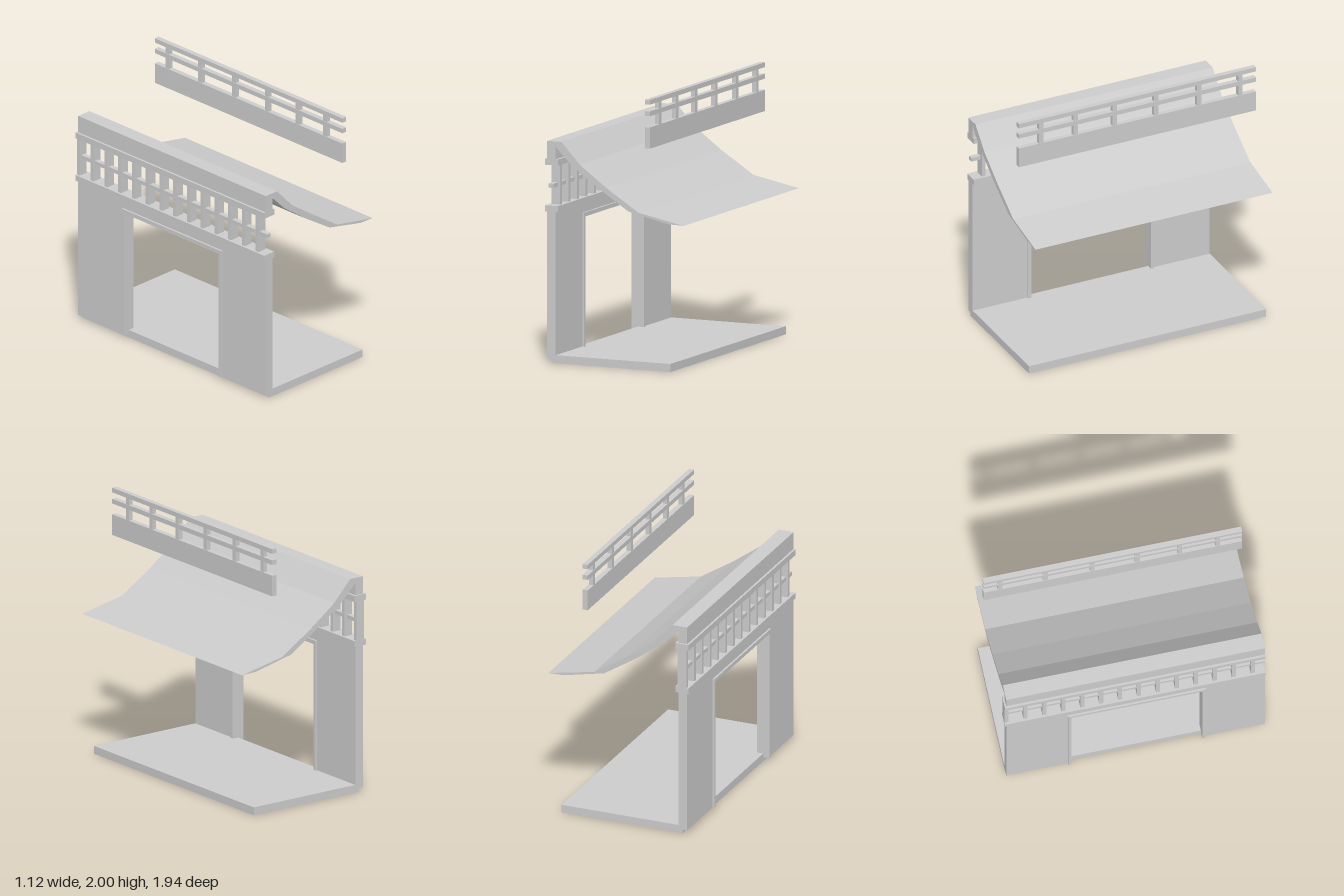
import * as THREE from 'three';

const Z0 = -0.96, Z1 = 0.97;

export function createModel() {
  const model = new THREE.Group();
  const material = new THREE.MeshStandardMaterial({ color: 0xcccccc, flatShading: true });

  function add(name, geometry, parent = model) {
    const mesh = new THREE.Mesh(geometry, material);
    mesh.name = name;
    parent.add(mesh);
    return mesh;
  }
  // Box given by its limits on each axis
  function box(name, [x0, x1], [y0, y1], [z0, z1], parent) {
    const g = new THREE.BoxGeometry(x1 - x0, y1 - y0, z1 - z0);
    g.translate((x0 + x1) / 2, (y0 + y1) / 2, (z0 + z1) / 2);
    return add(name, g, parent);
  }
  function group(name) {
    const g = new THREE.Group();
    g.name = name;
    model.add(g);
    return g;
  }
  // Door-shaped outline in (z, y), pushed out along x
  function portal(name, points, [x0, x1], parent) {
    const shape = new THREE.Shape(points.map(([z, y]) => new THREE.Vector2(-z, y)));
    const g = new THREE.ExtrudeGeometry(shape, { depth: x1 - x0, bevelEnabled: false });
    g.rotateY(Math.PI / 2);
    g.translate(x0, 0, 0);
    return add(name, g, parent);
  }

  // Floor slab
  box('floor', [-0.515, 0.45], [0, 0.06], [Z0, Z1]);

  // Wall with a doorway, and the frame lining it
  portal('wall', [
    [Z1, 0.03], [Z1, 1.13], [Z0, 1.13], [Z0, 0.03],
    [-0.49, 0.03], [-0.49, 1.035], [0.515, 1.035], [0.515, 0.03],
  ], [-0.55, -0.48]);
  portal('doorFrame', [
    [0.525, 0.03], [0.525, 1.05], [-0.5, 1.05], [-0.5, 0.03],
    [-0.475, 0.03], [-0.475, 1.02], [0.5, 1.02], [0.5, 0.03],
  ], [-0.565, -0.465]);

  // Slatted vent between two beams
  const vent = group('vent');
  box('lowerBeam', [-0.567, -0.462], [1.118, 1.163], [-0.973, Z1], vent);
  box('upperBeam', [-0.567, -0.462], [1.462, 1.508], [-0.973, Z1], vent);
  box('ventRail', [-0.537, -0.5], [1.295, 1.325], [Z0, Z1], vent);
  const slats = 14;
  for (let i = 0; i < slats; i++) {
    const z = THREE.MathUtils.lerp(-0.958, 0.88, i / (slats - 1));
    box('slat', [-0.55, -0.48], [1.15, 1.47], [z - 0.015, z + 0.015], vent);
  }

  // Curved roof with the ridge wall beneath it
  const profile = [
    [-0.55, 1.47], [-0.48, 1.47], [-0.48, 1.6], [-0.36, 1.48], [-0.145, 1.325],
    [0.11, 1.163], [0.43, 1.092], [0.557, 1.088], [0.19, 1.16], [-0.07, 1.325],
    [-0.285, 1.482], [-0.433, 1.64], [-0.55, 1.64],
  ];
  const roof = new THREE.ExtrudeGeometry(
    new THREE.Shape(profile.map(([x, y]) => new THREE.Vector2(x, y))),
    { depth: Z1 - Z0, bevelEnabled: false });
  roof.translate(0, 0, Z0);
  add('roof', roof);

  // Balustrade
  const balustrade = group('balustrade');
  box('parapet', [0.243, 0.283], [1.64, 1.797], [Z0, Z1], balustrade);
  box('middleRail', [0.243, 0.283], [1.88, 1.915], [Z0, Z1], balustrade);
  box('topRail', [0.243, 0.283], [1.965, 2], [Z0, Z1], balustrade);
  for (const z of [0.788, 0.505, 0.188, -0.15, -0.498, -0.835]) {
    box('post', [0.246, 0.28], [1.797, 1.965], [z - 0.018, z + 0.018], balustrade);
  }

  return model;
}
